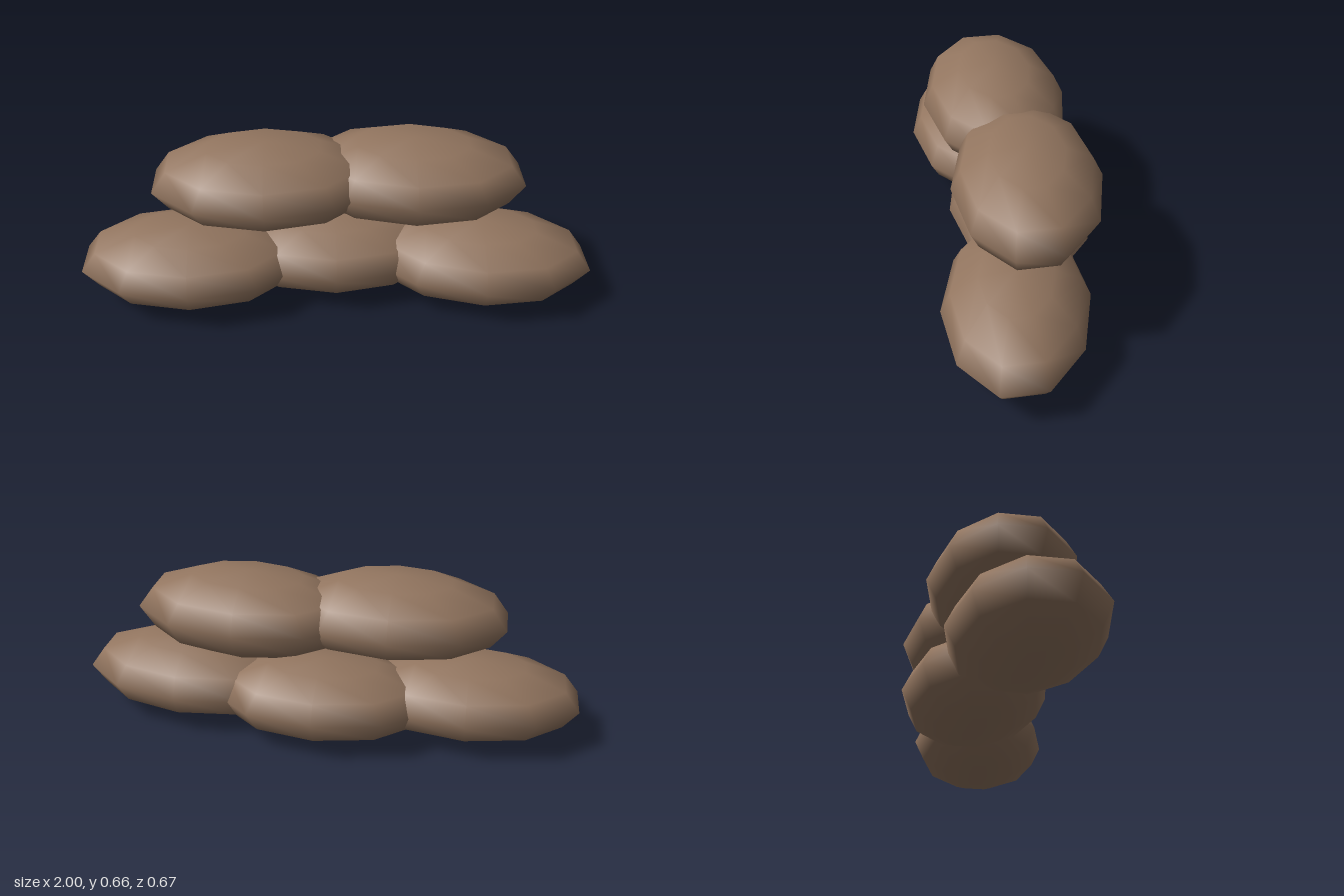
import * as THREE from 'three';
import { mergeVertices } from 'three/addons/utils/BufferGeometryUtils.js';

// One stuffed sack: a coarse sphere stretched separately up/down and front/back,
// with a slight skew so that no two sacks lie quite parallel.
function sackGeometry({ up, down, front, back, skew }) {
  const ball = new THREE.SphereGeometry(1, 10, 6).rotateY(Math.PI / 2);
  ball.deleteAttribute('uv');
  ball.deleteAttribute('normal');
  const geometry = mergeVertices(ball, 1e-4);
  const p = geometry.attributes.position;
  for (let i = 0; i < p.count; i++) {
    const x = p.getX(i) * 0.45;
    const y = p.getY(i) * (p.getY(i) > 0 ? up : down);
    const z = p.getZ(i) * (p.getZ(i) > 0 ? front : back) + skew * x;
    p.setXYZ(i, x, y, z);
  }
  geometry.computeVertexNormals();
  return geometry;
}

export function createModel() {
  const group = new THREE.Group();
  group.name = 'sandbagStack';

  const burlap = new THREE.MeshStandardMaterial({ color: 0x92755f });
  burlap.name = 'brown burlap';

  const sacks = [
    // bottom row
    { name: 'lowerRightSack', at: [-0.57, 0.16, 0.035], up: 0.155, down: 0.15, front: 0.285, back: 0.285, skew: 0 },
    { name: 'lowerMiddleSack', at: [0, 0.158, -0.055], up: 0.155, down: 0.158, front: 0.28, back: 0.283, skew: 0 },
    { name: 'lowerLeftSack', at: [0.57, 0.158, 0.05], up: 0.162, down: 0.15, front: 0.277, back: 0.275, skew: 0.1 },
    // top row
    { name: 'upperRightSack', at: [-0.27, 0.497, 0], up: 0.166, down: 0.147, front: 0.287, back: 0.283, skew: 0 },
    { name: 'upperLeftSack', at: [0.3, 0.495, -0.03], up: 0.16, down: 0.172, front: 0.277, back: 0.285, skew: 0.06 },
  ];
  for (const sack of sacks) {
    const mesh = new THREE.Mesh(sackGeometry(sack), burlap);
    mesh.name = sack.name;
    mesh.position.set(...sack.at);
    group.add(mesh);
  }
  return group;
}
